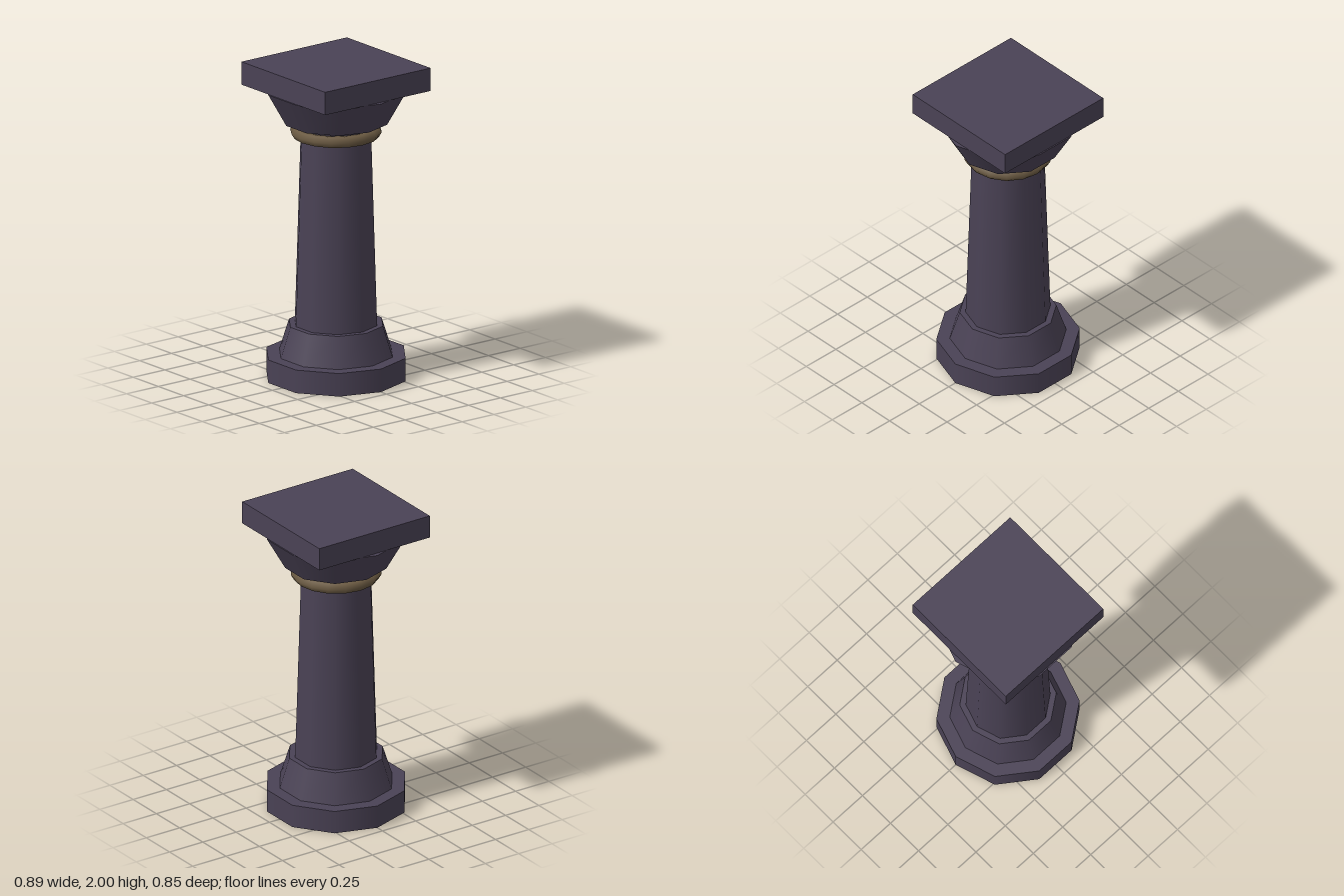
import * as THREE from 'three';

export function createModel() {
  const stone = new THREE.MeshStandardMaterial({ name: 'dark stone', color: 0x4a4255 });
  const bronze = new THREE.MeshStandardMaterial({ name: 'aged bronze', color: 0x6b5a42 });
  const column = new THREE.Group();
  column.name = 'column';

  const add = (name, geometry, material, y) => {
    const mesh = new THREE.Mesh(geometry, material);
    mesh.name = name;
    mesh.position.y = y;
    column.add(mesh);
  };

  // Ten-sided drum between two heights, with corners on the x axis
  const drum = (name, bottomRadius, topRadius, y0, y1) =>
    add(name, new THREE.CylinderGeometry(topRadius, bottomRadius, y1 - y0, 10).rotateY(Math.PI / 2), stone, (y0 + y1) / 2);

  drum('plinth', 0.445, 0.445, 0, 0.148);
  drum('baseTaper', 0.362, 0.3, 0.148, 0.343);
  drum('shaft', 0.263, 0.223, 0.343, 1.642);
  drum('capital', 0.327, 0.445, 1.642, 1.853);

  // Ring around the neck
  add('neckRing', new THREE.TorusGeometry(0.247, 0.037, 6, 16).rotateX(Math.PI / 2), bronze, 1.577);

  // Square slab on top
  add('abacus', new THREE.BoxGeometry(0.83, 0.147, 0.83), stone, 1.9265);

  return column;
}
